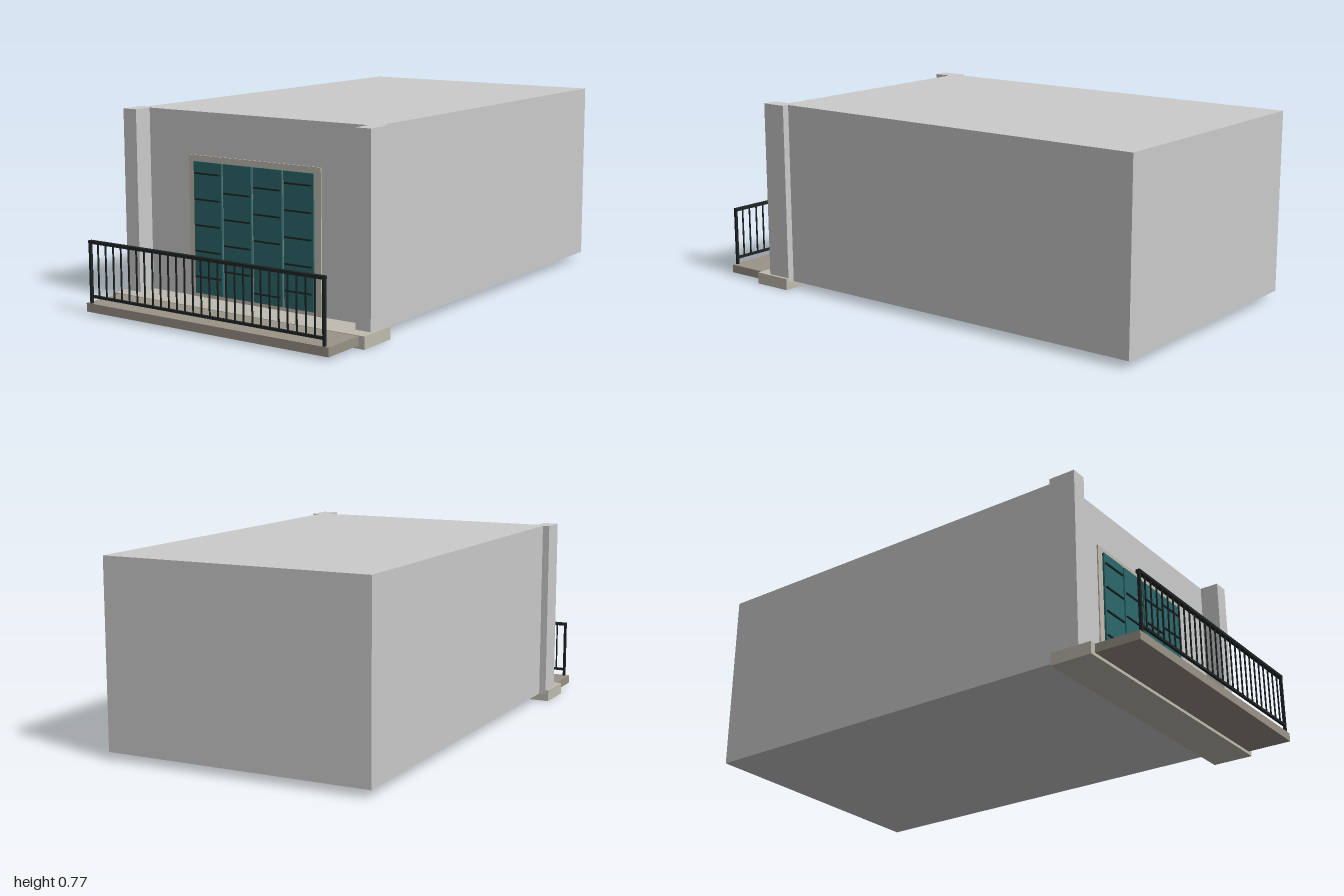
import * as THREE from 'three';

const material = (color) => new THREE.MeshStandardMaterial({ color });

export function createModel() {
  const model = new THREE.Group();
  const grey = material(0xcccccc);
  const stone = material(0xc0bcb0);
  const paving = material(0x9a9387);
  const teal = material(0x2c686b);
  const iron = material(0x1f2424);

  // Box given by its extents along each axis
  function box(name, mat, [x0, x1], [y0, y1], [z0, z1], parent = model) {
    const mesh = new THREE.Mesh(new THREE.BoxGeometry(x1 - x0, y1 - y0, z1 - z0), mat);
    mesh.position.set((x0 + x1) / 2, (y0 + y1) / 2, (z0 + z1) / 2);
    mesh.name = name;
    parent.add(mesh);
    return mesh;
  }

  // Room with corner pillars
  box('room', grey, [-0.548, 0.548], [0.03, 0.77], [-1, 0.68]);
  box('leftPillar', grey, [0.512, 0.577], [0.03, 0.77], [0.65, 0.758]);
  box('rightPillar', grey, [-0.577, -0.512], [0.03, 0.77], [0.65, 0.758]);

  // Floor ledge and balcony slab
  box('ledge', stone, [-0.59, 0.59], [0, 0.048], [0.65, 0.818]);
  box('balconySlab', paving, [-0.566, 0.566], [0.012, 0.046], [0.818, 1]);

  // Door surround, four shutters and their slats
  const door = new THREE.Group();
  door.name = 'shutterDoor';
  model.add(door);
  box('doorFrame', stone, [-0.311, 0.311], [0.048, 0.603], [0.67, 0.685], door);
  const firstSlat = [0.131, 0.165, 0.1, 0.131];
  const slatCount = [5, 4, 5, 5];
  for (let i = 0; i < 4; i++) {
    const x = (i - 1.5) * 0.143;
    box('shutter', teal, [x - 0.067, x + 0.067], [0.064, 0.579], [0.68, 0.693], door);
    for (let j = 0; j < slatCount[i]; j++) {
      const y = firstSlat[i] + j * 0.101;
      box('slat', iron, [x - 0.061, x + 0.061], [y - 0.003, y + 0.003], [0.69, 0.699], door);
    }
  }

  // Railing along the front edge
  const railing = new THREE.Group();
  railing.name = 'railing';
  model.add(railing);
  box('topRail', iron, [-0.549, 0.549], [0.279, 0.291], [0.982, 0.999], railing);
  box('bottomRail', iron, [-0.547, 0.547], [0.069, 0.079], [0.988, 0.998], railing);
  for (const x of [-0.544, 0.544]) {
    box('post', iron, [x - 0.005, x + 0.005], [0.045, 0.285], [0.987, 0.998], railing);
  }
  const bays = 28;
  for (let i = 1; i < bays; i++) {
    const x = -0.544 + (1.088 * i) / bays;
    box('baluster', iron, [x - 0.0025, x + 0.0025], [0.074, 0.285], [0.99, 0.995], railing);
  }

  return model;
}
